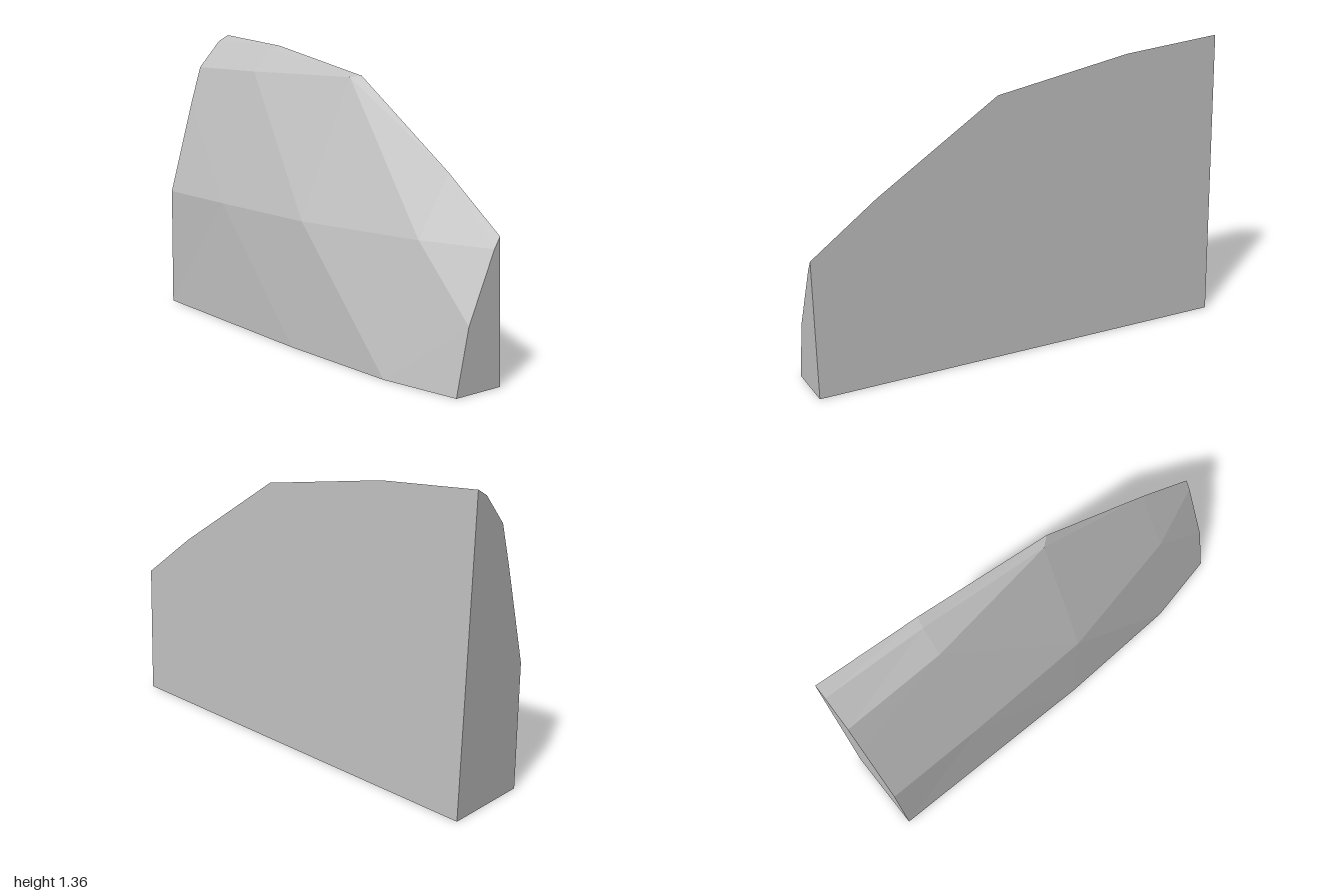
import * as THREE from 'three';

// The back is one leaning plane: z follows from x and y
const onBack = (x, y) => [x, y, -0.1775 + 0.0225 * x + 0.033 * y];

// Corner points, in rows from the base to the top edge
const base = [[-1, 0, 0.2], [0.05, 0, 0.195], [0.65, 0, 0.162], [1, 0, 0.085]];
const mid = [[-1, 0.575, 0.195], [-0.53, 0.575, 0.186], [0.08, 0.575, 0.16], [0.7, 0.575, 0.025]];
const upper = [[-1, 1.2, 0.015], [-0.53, 1.2, -0.003], [0.09, 1.2, -0.1]];
const bevel = [[-1, 1.33, -0.1], [-0.53, 1.302, -0.1]];
const top = [[-1, 1.36], [-0.52, 1.32], [0.13, 1.207], [0.7, 0.84], [1, 0.62]].map(([x, y]) => onBack(x, y));
const backLeft = onBack(-1, 0), backRight = onBack(1, 0);
const leftEdge = [-1, 1.02, 0.07];
const rightLow = [1, 0.28, 0.025], rightHigh = [1, 0.572, -0.105];

// Builds a faceted mesh from convex polygons, each cut as a fan
function facets(name, polygons, material) {
  const points = [];
  for (const p of polygons)
    for (let i = 1; i < p.length - 1; i++) points.push(...p[0], ...p[i], ...p[i + 1]);
  const geometry = new THREE.BufferGeometry();
  geometry.setAttribute('position', new THREE.Float32BufferAttribute(points, 3));
  geometry.computeVertexNormals();
  const mesh = new THREE.Mesh(geometry, material);
  mesh.name = name;
  return mesh;
}

export function createModel() {
  const stone = new THREE.MeshStandardMaterial({ color: 0xc0c0c0 });
  stone.name = 'light grey';

  const [b0, b1, b2, b3] = base, [m0, m1, m2, m3] = mid;
  const [u0, u1, u2] = upper, [v0, v1] = bevel, [t0, t1, t2, t3, t4] = top;

  const group = new THREE.Group();
  group.name = 'facetedSlab';
  group.add(
    // Nearly upright lower band of the front
    facets('lowerFront', [
      [m1, m0, b0, b1], [m1, b1, m2], [m2, b1, b2], [m3, m2, b2], [m3, b2, rightLow], [b2, b3, rightLow],
    ], stone),
    // Sloping band above it
    facets('upperFront', [
      [leftEdge, m0, m1], [leftEdge, m1, u1, u0], [u1, m1, m2], [u1, m2, u2], [u2, m2, m3],
      [u2, m3, t3, t2], [t3, m3, rightHigh, t4], [m3, rightLow, rightHigh],
    ], stone),
    // Shallow slopes along the top edge
    facets('topBevel', [[u0, u1, v1, v0], [u1, u2, v1], [v0, v1, t1, t0], [v1, u2, t2, t1]], stone),
    // Flat cut faces
    facets('tallEnd', [[backLeft, b0, m0, leftEdge, u0, v0, t0]], stone),
    facets('shortEnd', [[b3, backRight, t4, rightHigh, rightLow]], stone),
    facets('back', [[backRight, backLeft, t0, t1, t2, t3, t4]], stone),
    facets('underside', [[backLeft, backRight, b3, b2, b1, b0]], stone),
  );
  return group;
}
